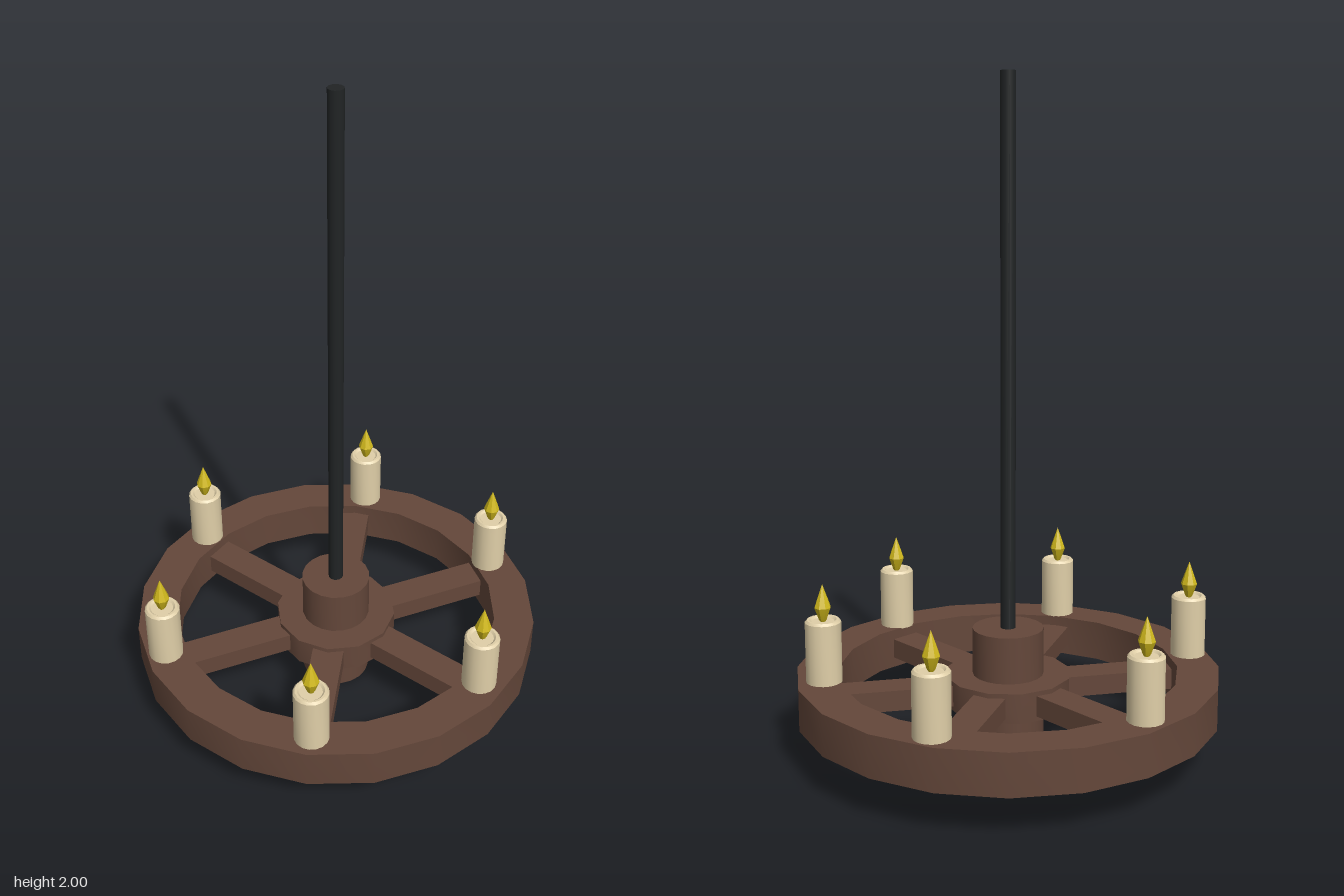
import * as THREE from 'three';
import { toCreasedNormals } from 'three/addons/utils/BufferGeometryUtils.js';

function mat(name, color) {
  const m = new THREE.MeshStandardMaterial({ color });
  m.name = name;
  return m;
}

// Revolved part: smooth around the axis, sharp at profile corners
function lathe(profile, sides) {
  const pts = profile.map(([r, y]) => new THREE.Vector2(r, y));
  return toCreasedNormals(new THREE.LatheGeometry(pts, sides), 0.6);
}

export function createModel() {
  const model = new THREE.Group();
  model.name = 'wheelChandelier';
  const wood = mat('darkWood', 0x64473a);
  const iron = mat('blackIron', 0x212425);
  const wax = mat('candleWax', 0xe0cfa8);
  const fire = mat('flameYellow', 0xd0b81c);

  const add = (name, geometry, material, parent = model) => {
    const mesh = new THREE.Mesh(geometry, material);
    mesh.name = name;
    parent.add(mesh);
    return mesh;
  };

  // Wheel rim, closed rectangular section
  add('rim', lathe([[0.635, 0.127], [0.635, 0.252], [0.51, 0.252], [0.51, 0.127], [0.635, 0.127]], 20), wood);

  // Hub core and the wider collar that holds the spokes
  add('hubCore', lathe([[0, 0], [0.107, 0], [0.107, 0.376], [0, 0.376]], 20), wood);
  add('hubCollar', lathe([[0, 0.145], [0.19, 0.145], [0.19, 0.235], [0, 0.235]], 12), wood);

  // Six spokes
  for (let i = 0; i < 6; i++) {
    const a = (i * Math.PI) / 3;
    const spoke = add('spoke', new THREE.BoxGeometry(0.097, 0.062, 0.44), wood);
    spoke.position.set(Math.sin(a) * 0.31, 0.19, Math.cos(a) * 0.31);
    spoke.rotation.y = a;
  }

  // Hanging rod
  const rod = add('hangingRod', new THREE.CylinderGeometry(0.023, 0.023, 1.64, 12), iron);
  rod.position.y = 1.18;

  // Candles, set slightly unevenly around the rim
  const candleGeo = lathe([[0, 0], [0.053, 0], [0.053, 0.183], [0.047, 0.19], [0.04, 0.19], [0.034, 0.184], [0, 0.184]], 16);
  const flameGeo = lathe([[0, 0.172], [0.012, 0.19], [0.025, 0.226], [0.016, 0.252], [0, 0.296]], 8);
  const spots = [
    [0.005, 0.562], [0.475, 0.28], [0.476, -0.279],
    [0.029, -0.568], [-0.483, -0.283], [-0.493, 0.283],
  ];
  for (const [x, z] of spots) {
    const candle = new THREE.Group();
    candle.name = 'candle';
    candle.position.set(x, 0.25, z);
    add('candleBody', candleGeo, wax, candle);
    add('flame', flameGeo, fire, candle);
    model.add(candle);
  }
  return model;
}
